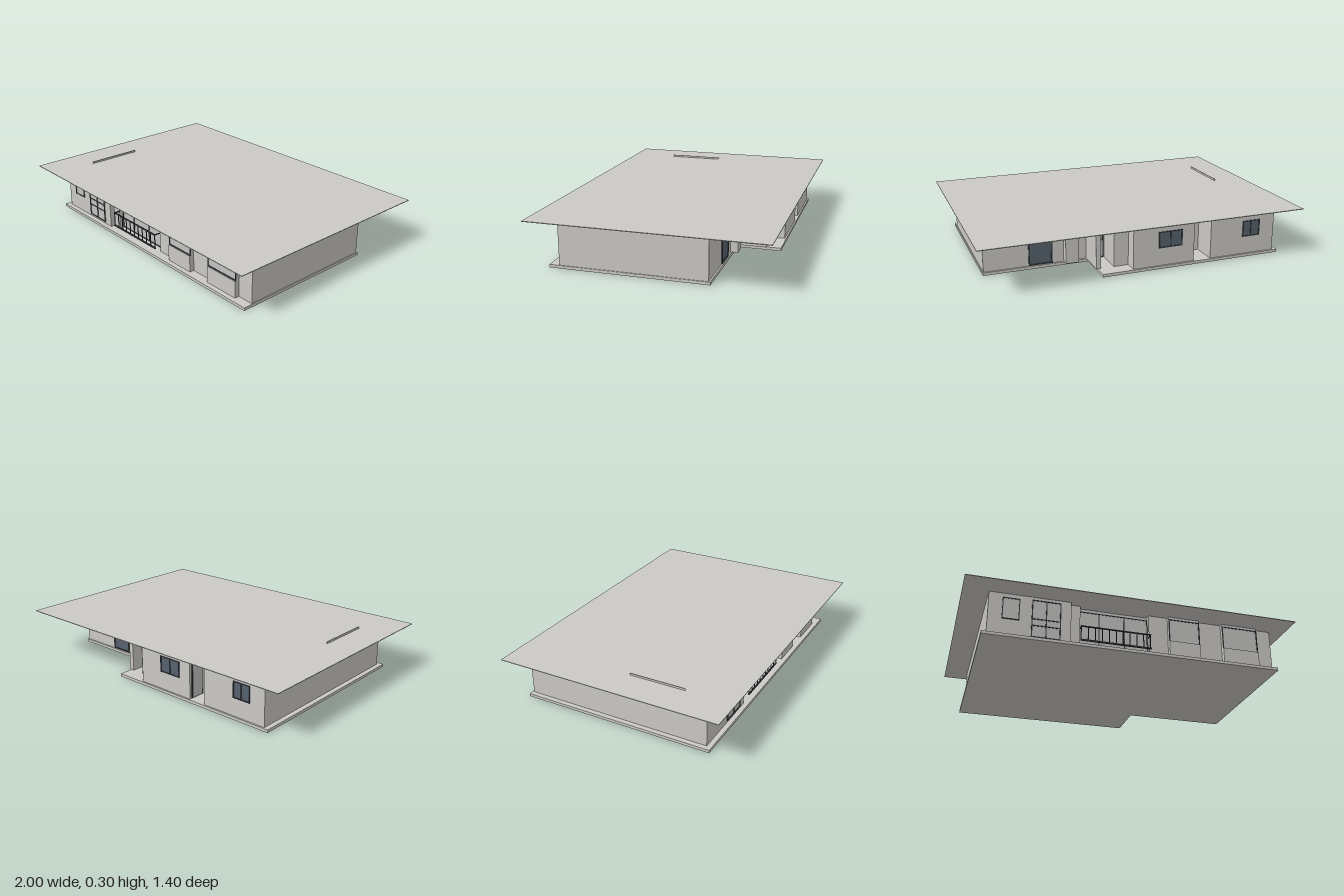
import * as THREE from 'three';

const mat = (name, color) => {
  const m = new THREE.MeshStandardMaterial({ color });
  m.name = name;
  return m;
};

export function createModel() {
  const wall = mat('pale grey', 0xcbc9c5);
  const glass = mat('window grey', 0xc3c3c1);
  const dark = mat('dark frame', 0x3a4046);
  const blue = mat('slate door', 0x56626e);
  const house = new THREE.Group();
  house.name = 'house';

  // box given by its min and max corners
  const box = (parent, name, m, x0, x1, y0, y1, z0, z1) => {
    const mesh = new THREE.Mesh(new THREE.BoxGeometry(x1 - x0, y1 - y0, z1 - z0), m);
    mesh.position.set((x0 + x1) / 2, (y0 + y1) / 2, (z0 + z1) / 2);
    mesh.name = name;
    parent.add(mesh);
    return mesh;
  };

  // floor plan (x, z) raised from y0 to y1
  const plan = (name, m, points, y0, y1) => {
    const shape = new THREE.Shape(points.map(([x, z]) => new THREE.Vector2(x, -z)));
    const geo = new THREE.ExtrudeGeometry(shape, { depth: y1 - y0, bevelEnabled: false });
    geo.rotateX(-Math.PI / 2).translate(0, y0, 0);
    const mesh = new THREE.Mesh(geo, m);
    mesh.name = name;
    house.add(mesh);
  };

  // pane with a thin frame; xs and ys are inner bars; dir is the facing of z
  const windowUnit = (name, pane, x0, x1, y0, y1, z, dir, xs = [], ys = [], t = 0.006) => {
    const g = new THREE.Group();
    g.name = name;
    const slab = (n, m, a, b, c, d, depth) =>
      box(g, n, m, a, b, c, d, Math.min(z, z + dir * depth), Math.max(z, z + dir * depth));
    slab('pane', pane, x0, x1, y0, y1, 0.002);
    [x0 + t / 2, x1 - t / 2, ...xs].forEach((x) => slab('uprightBar', dark, x - t / 2, x + t / 2, y0, y1, 0.006));
    [y0 + t / 2, y1 - t / 2, ...ys].forEach((y) => slab('crossBar', dark, x0, x1, y - t / 2, y + t / 2, 0.005));
    house.add(g);
  };

  // L-shaped base slab
  plan('baseSlab', wall, [[-0.88, 0.59], [0.91, 0.59], [0.91, -0.355], [0.27, -0.355],
    [0.27, -0.62], [-0.88, -0.62]], 0, 0.018);

  // walls with the stepped front, entrance porch and rear recess
  plan('walls', wall, [
    [-0.85, 0.56], [-0.37, 0.56], [-0.37, 0.53], [-0.31, 0.53], [-0.31, 0.5], [0.11, 0.5],
    [0.11, 0.53], [0.905, 0.53], [0.905, -0.345], [0.42, -0.345], [0.42, -0.39], [0.34, -0.39],
    [0.34, -0.345], [0.28, -0.345], [0.28, -0.53], [0.25, -0.53], [0.25, -0.36], [0.17, -0.36],
    [0.17, -0.53], [0.08, -0.53], [0.08, -0.61], [-0.31, -0.61], [-0.31, -0.45], [-0.42, -0.45],
    [-0.42, -0.61], [-0.85, -0.61]], 0.018, 0.289);

  // flat roof sheet and the thin ridge on it
  box(house, 'roof', wall, -1, 1, 0.288, 0.292, -0.7, 0.7);
  box(house, 'roofFin', wall, -0.796, -0.791, 0.292, 0.304, 0.05, 0.4);

  // front windows and doors
  windowUnit('smallFrontWindow', glass, -0.77, -0.67, 0.125, 0.262, 0.56, 1, [], [], 0.005);
  windowUnit('frontDoubleDoor', glass, -0.6, -0.43, 0.03, 0.27, 0.56, 1, [-0.515], [0.105, 0.147]);
  windowUnit('slidingDoor', glass, -0.31, 0.11, 0.022, 0.27, 0.5, 1, [-0.19, -0.035], [], 0.005);

  // projecting window bays
  [[0.23, 0.425], [0.575, 0.805]].forEach(([x0, x1]) => {
    box(house, 'bayPanel', wall, x0, x1, 0.018, 0.12, 0.53, 0.56);
    box(house, 'bayTop', wall, x0, x1, 0.12, 0.288, 0.53, 0.55);
    windowUnit('bayWindow', glass, x0, x1, 0.12, 0.272, 0.55, 1, [], [], 0.006);
  });

  // balcony railing
  const railing = new THREE.Group();
  railing.name = 'balconyRailing';
  box(railing, 'topRail', dark, -0.315, 0.112, 0.136, 0.142, 0.563, 0.571);
  box(railing, 'bottomRail', dark, -0.315, 0.112, 0.046, 0.055, 0.563, 0.571);
  for (let i = 0; i <= 10; i++) {
    const x = -0.312 + i * 0.0418;
    box(railing, 'baluster', dark, x - 0.002, x + 0.003, 0.046, 0.142, 0.565, 0.569);
  }
  [-0.312, 0.105].forEach((x) => box(railing, 'railBracket', dark, x, x + 0.005, 0.136, 0.142, 0.53, 0.565));
  house.add(railing);

  // rear windows and doors
  windowUnit('rearWindow', blue, -0.23, -0.08, 0.128, 0.228, -0.61, -1, [-0.155]);
  windowUnit('rearWindow', blue, -0.75, -0.635, 0.128, 0.228, -0.61, -1, [-0.69]);
  windowUnit('rearDoor', blue, 0.49, 0.635, 0.02, 0.268, -0.345, -1, [], [], 0.008);
  windowUnit('entranceDoor', glass, 0.175, 0.245, 0.02, 0.25, -0.36, -1, [], [0.13]);

  // door in the side of the rear recess
  box(house, 'recessDoorFrame', dark, -0.314, -0.31, 0.02, 0.25, -0.595, -0.505);
  box(house, 'recessDoor', glass, -0.317, -0.313, 0.025, 0.242, -0.587, -0.513);

  return house;
}
